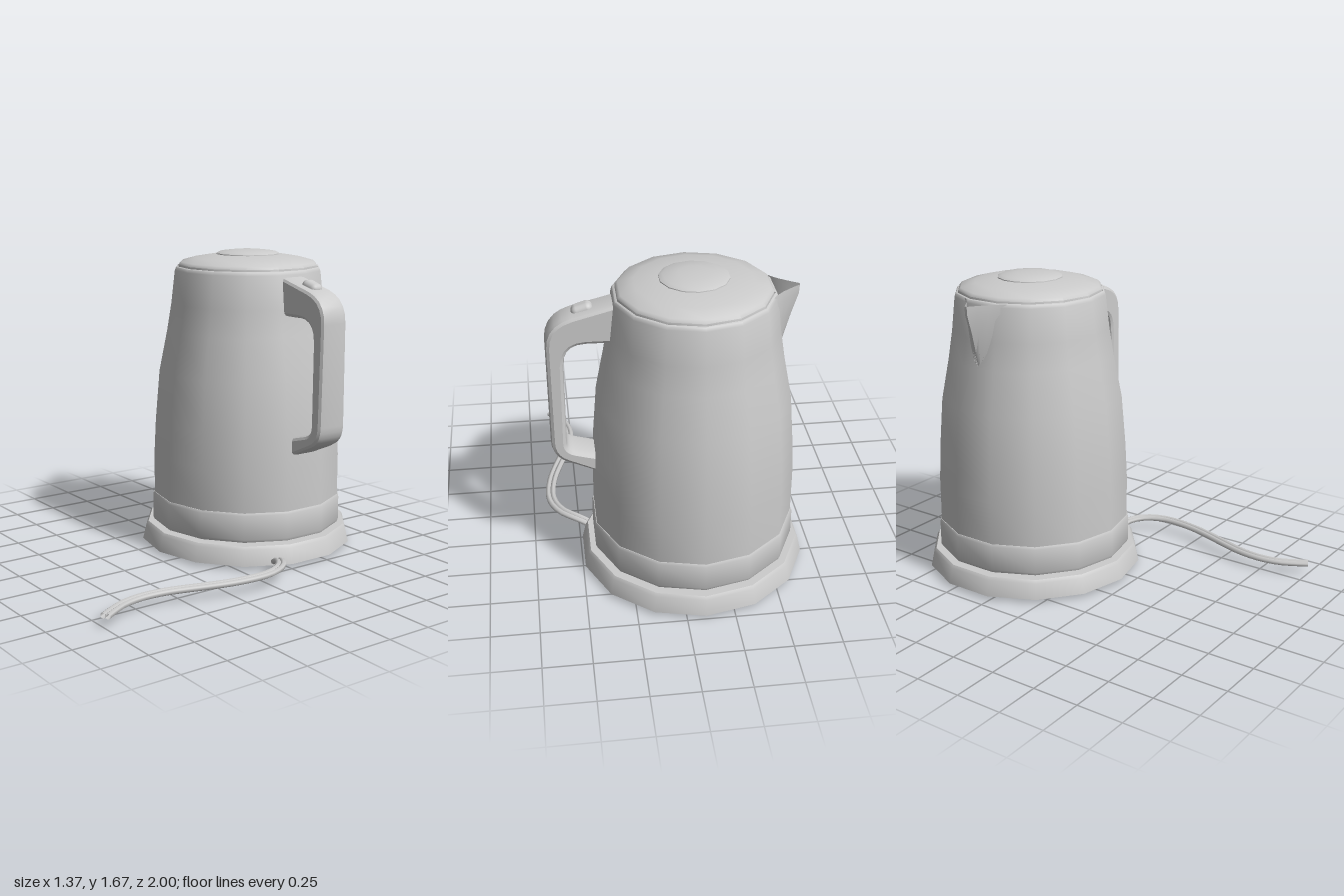
import * as THREE from 'three';
import { toCreasedNormals } from 'three/addons/utils/BufferGeometryUtils.js';
import { RoundedBoxGeometry } from 'three/addons/geometries/RoundedBoxGeometry.js';

const CX = -0.1, CZ = -0.397, SIDES = 14;
const grey = new THREE.MeshStandardMaterial({ color: 0xcccccc });
const greyDouble = new THREE.MeshStandardMaterial({ color: 0xcccccc, side: THREE.DoubleSide });

export function createModel() {
  const model = new THREE.Group();
  model.name = 'kettle';

  const add = (name, geometry, material = grey) => {
    const mesh = new THREE.Mesh(geometry, material);
    mesh.name = name;
    model.add(mesh);
    return mesh;
  };
  // Turned part around the kettle axis, profile given bottom to top as [radius, y]
  const turned = (name, profile, material) => {
    const points = profile.map(([r, y]) => new THREE.Vector2(r, y));
    const mesh = add(name, toCreasedNormals(new THREE.LatheGeometry(points, SIDES), 0.9), material);
    mesh.position.set(CX, 0, CZ);
  };

  // Power base, a thin shell open underneath, and its connector
  turned('powerBase', [[0.603, 0.02], [0.583, 0.105], [0.571, 0.122], [0, 0.125]], greyDouble);
  turned('connector', [[0, 0.117], [0.15, 0.117], [0.15, 0.15], [0, 0.15]]);

  // Jug
  turned('lowerBand', [[0, 0.133], [0.535, 0.133], [0.542, 0.149], [0.542, 0.283], [0.536, 0.296], [0.5, 0.297]]);
  turned('body', [[0.533, 0.28], [0.533, 0.53], [0.524, 0.72], [0.501, 1.0], [0.456, 1.23],
    [0.432, 1.38], [0.412, 1.56], [0.405, 1.577], [0.395, 1.58], [0.39, 1.56], [0, 1.56]]);

  // Lid and its raised centre
  turned('lid', [[0.39, 1.56], [0.392, 1.59], [0.378, 1.605], [0.3, 1.627], [0.19, 1.645], [0, 1.645]]);
  turned('lidCentre', [[0.178, 1.635], [0.176, 1.65], [0.155, 1.66], [0.08, 1.669], [0, 1.672]]);

  // Spout: flared, pointed cross-sections [y, tip x, half width at the body, body radius]
  const levels = [[1.577, -0.625, 0.15, 0.405], [1.53, -0.622, 0.145, 0.413],
    [1.42, -0.588, 0.115, 0.427], [1.32, -0.561, 0.075, 0.441], [1.21, -0.53, 0.02, 0.458]];
  // Outline of one half from tip to body: [fraction from body to tip, fraction of half width]
  const flare = [[1, 0.05], [0.72, 0.25], [0.4, 0.5], [0.16, 0.75], [0, 1]];
  const outline = [...flare.map(([t, w]) => [t, -w]).reverse(), ...flare];
  const positions = [], indices = [], row = outline.length;
  levels.forEach(([y, tip, width, r], level) => {
    const root = CX - 0.97 * Math.sqrt(r * r - width * width);
    outline.forEach(([t, w], i) => {
      positions.push(root + (tip - root) * t, y, CZ + width * w);
      if (level && i) {
        const d = level * row + i, c = d - 1, b = d - row, a = b - 1;
        indices.push(a, c, b, b, c, d);
      }
    });
  });
  const spout = new THREE.BufferGeometry();
  spout.setAttribute('position', new THREE.Float32BufferAttribute(positions, 3));
  spout.setIndex(indices);
  add('spout', toCreasedNormals(spout, 0.7), greyDouble);

  // Handle: bevelled side profile, inset by the bevel size
  const s = new THREE.Shape();
  s.moveTo(0.3, 1.53);
  s.lineTo(0.5, 1.478);
  s.bezierCurveTo(0.58, 1.455, 0.62, 1.41, 0.62, 1.33);
  s.lineTo(0.616, 0.79);
  s.quadraticCurveTo(0.615, 0.715, 0.55, 0.685);
  s.lineTo(0.38, 0.605);
  s.lineTo(0.38, 0.672);
  s.lineTo(0.51, 0.708);
  s.quadraticCurveTo(0.575, 0.725, 0.575, 0.785);
  s.lineTo(0.573, 1.23);
  s.quadraticCurveTo(0.57, 1.365, 0.44, 1.365);
  s.lineTo(0.3, 1.363);
  const handle = new THREE.ExtrudeGeometry(s, {
    depth: 0.11, bevelEnabled: true, bevelSize: 0.02, bevelThickness: 0.03, bevelSegments: 2, curveSegments: 5,
  });
  handle.translate(0, 0, -0.055);
  // Slightly wider towards the bottom
  const hp = handle.attributes.position;
  for (let i = 0; i < hp.count; i++) hp.setZ(i, hp.getZ(i) * (1.05 - 0.13 * (hp.getY(i) - 0.6)));
  add('handle', toCreasedNormals(handle, 0.5)).position.z = CZ;

  // Lid release button on the sloping top of the handle
  const button = add('lidButton', new RoundedBoxGeometry(0.11, 0.08, 0.078, 3, 0.03));
  button.position.set(0.448, 1.497, CZ);
  button.rotation.z = -0.3;

  // Flat twin power cord, tucked under the base at one end
  const path = [[0.34, 0.016, -0.22], [0.41, 0.02, -0.2], [0.45, 0.046, -0.18], [0.51, 0.068, -0.155],
    [0.59, 0.075, -0.095], [0.64, 0.075, 0], [0.65, 0.073, 0.1], [0.628, 0.07, 0.26], [0.58, 0.067, 0.42],
    [0.53, 0.064, 0.58], [0.513, 0.061, 0.72], [0.535, 0.058, 0.85], [0.612, 0.056, 0.99]];
  const centre = new THREE.CatmullRomCurve3(path.map((p) => new THREE.Vector3(...p)));
  for (const side of [-1, 1]) {
    const strand = centre.getPoints(24).map((p, i) => {
      const t = centre.getTangent(i / 24);
      return p.add(new THREE.Vector3(t.z, 0, -t.x).setLength(side * 0.013));
    });
    add('powerCord', new THREE.TubeGeometry(new THREE.CatmullRomCurve3(strand), 30, 0.016, 6), greyDouble);
  }

  return model;
}
